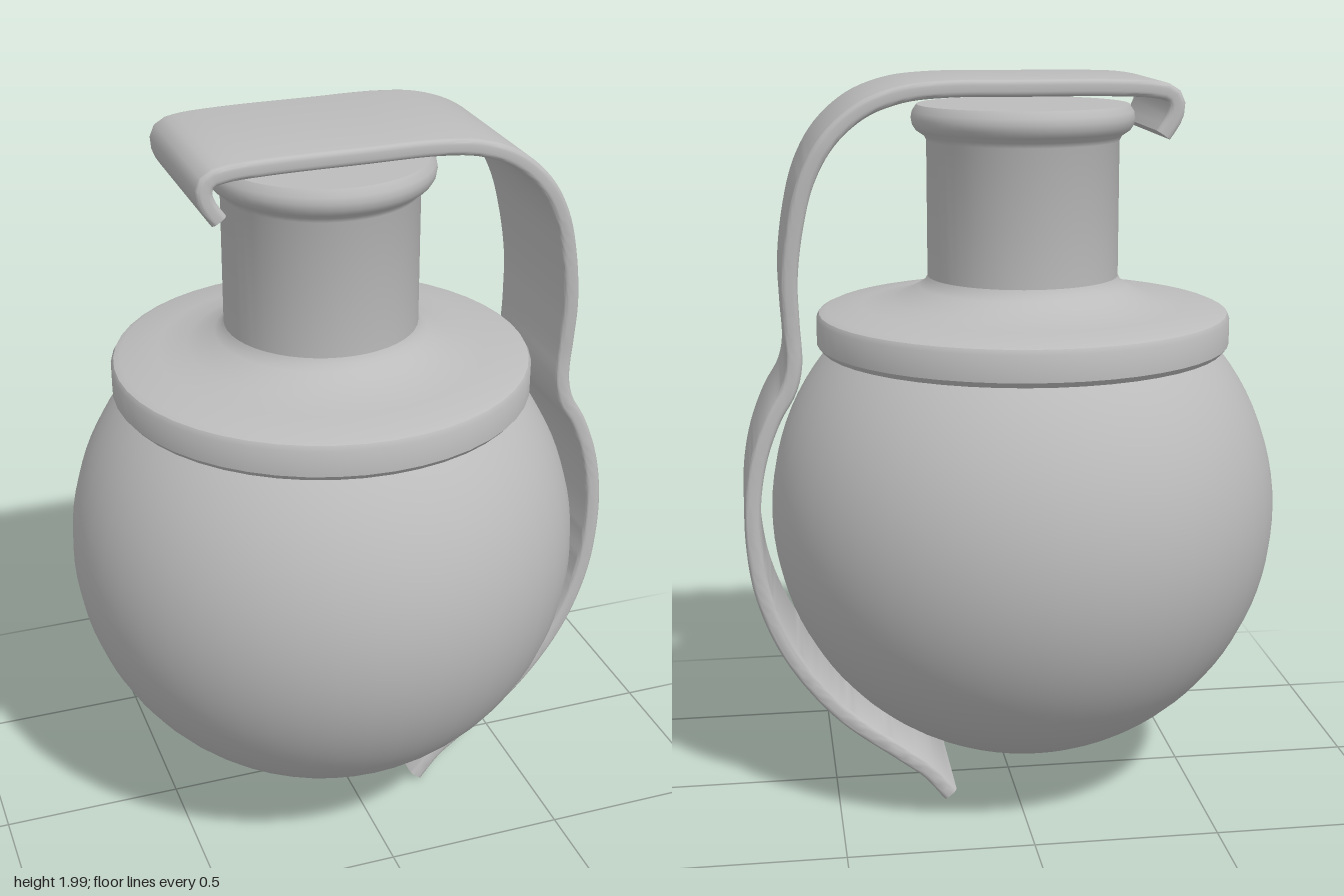
import * as THREE from 'three';
import { toCreasedNormals } from 'three/addons/utils/BufferGeometryUtils.js';

const AXIS_X = -0.04; // the round parts sit slightly off centre
const SEGMENTS = 48;

function lathe(name, points, material) {
  const profile = points.map(([r, y]) => new THREE.Vector2(r, y));
  const mesh = new THREE.Mesh(toCreasedNormals(new THREE.LatheGeometry(profile, SEGMENTS), 0.6), material);
  mesh.name = name;
  mesh.position.x = AXIS_X;
  return mesh;
}

// Rounded rectangle as [across thickness, across width], counter-clockwise
function bandSection(halfThick, halfWidth, radius) {
  const section = [];
  const corners = [[1, 1], [-1, 1], [-1, -1], [1, -1]];
  corners.forEach(([sn, sz], k) => {
    for (let i = 0; i <= 4; i++) {
      const a = (k + i / 4) * Math.PI / 2;
      section.push([
        sn * (halfThick - radius) + Math.cos(a) * radius,
        sz * (halfWidth - radius) + Math.sin(a) * radius,
      ]);
    }
  });
  return section;
}

// Sweeps a band of varying width along a curve in the xy plane
function sweepBand(curve, steps, halfThick, halfWidthAt) {
  const positions = [], index = [];
  let count = 0;
  for (let i = 0; i <= steps; i++) {
    const p = curve.getPointAt(i / steps);
    const t = curve.getTangentAt(i / steps);
    const section = bandSection(halfThick, halfWidthAt(p), 0.014);
    count = section.length;
    for (const [n, z] of section) positions.push(p.x - t.y * n, p.y + t.x * n, z);
  }
  for (let i = 0; i < steps; i++) {
    for (let j = 0; j < count; j++) {
      const k = (j + 1) % count;
      const a = i * count + j, b = i * count + k;
      index.push(a, b, a + count, b, b + count, a + count);
    }
  }
  // End caps
  const last = steps * count;
  for (let j = 1; j < count - 1; j++) {
    index.push(0, j + 1, j, last, last + j, last + j + 1);
  }
  const geometry = new THREE.BufferGeometry();
  geometry.setAttribute('position', new THREE.Float32BufferAttribute(positions, 3));
  geometry.setIndex(index);
  return toCreasedNormals(geometry, 0.7);
}

export function createModel() {
  const group = new THREE.Group();
  const grey = new THREE.MeshStandardMaterial({ color: 0xbcbcbc });
  grey.name = 'plain grey';

  // Spherical body with a small flat base
  const R = 0.7, centreY = 0.81;
  const start = Math.asin(0.17 / R), end = 2.3;
  const ball = [[0, centreY - R * Math.cos(start)]];
  for (let i = 0; i <= 32; i++) {
    const a = start + (end - start) * i / 32;
    ball.push([R * Math.sin(a), centreY - R * Math.cos(a)]);
  }
  group.add(lathe('body', ball, grey));

  // Collar sweeping up into the neck
  group.add(lathe('collar', [
    [0.5, 1.265], [0.552, 1.265], [0.565, 1.28], [0.565, 1.35], [0.558, 1.363], [0.54, 1.371],
    [0.44, 1.383], [0.36, 1.397], [0.315, 1.416], [0.285, 1.433], [0.268, 1.445], [0.26, 1.46],
  ], grey));

  // Neck with a rolled lip
  group.add(lathe('neck', [
    [0.26, 1.42], [0.26, 1.825], [0.266, 1.838], [0.288, 1.853], [0.298, 1.868],
    [0.301, 1.885], [0.298, 1.902], [0.285, 1.921], [0, 1.921],
  ], grey));

  // Bent lever, wider over the top
  const path = [
    [-0.375, 1.852], [-0.402, 1.893], [-0.411, 1.928], [-0.398, 1.956], [-0.355, 1.968],
    [-0.25, 1.974], [0, 1.975], [0.2, 1.974], [0.31, 1.961], [0.41, 1.922], [0.495, 1.847],
    [0.55, 1.75], [0.582, 1.63], [0.6, 1.49], [0.598, 1.38], [0.594, 1.26], [0.61, 1.195],
    [0.65, 1.125], [0.69, 1.02], [0.712, 0.9], [0.713, 0.77], [0.69, 0.62], [0.62, 0.45],
    [0.49, 0.28], [0.32, 0.145], [0.25, 0.09], [0.19, 0.018],
  ].map(([x, y]) => new THREE.Vector3(x, y, 0));
  const curve = new THREE.CatmullRomCurve3(path, false, 'centripetal');
  curve.arcLengthDivisions = 800;
  const halfWidthAt = (p) => THREE.MathUtils.lerp(0.194, 0.231, THREE.MathUtils.clamp((p.y - 1.33) / 0.5, 0, 1));
  const lever = new THREE.Mesh(sweepBand(curve, 140, 0.022, halfWidthAt), grey);
  lever.name = 'lever';
  group.add(lever);

  return group;
}
